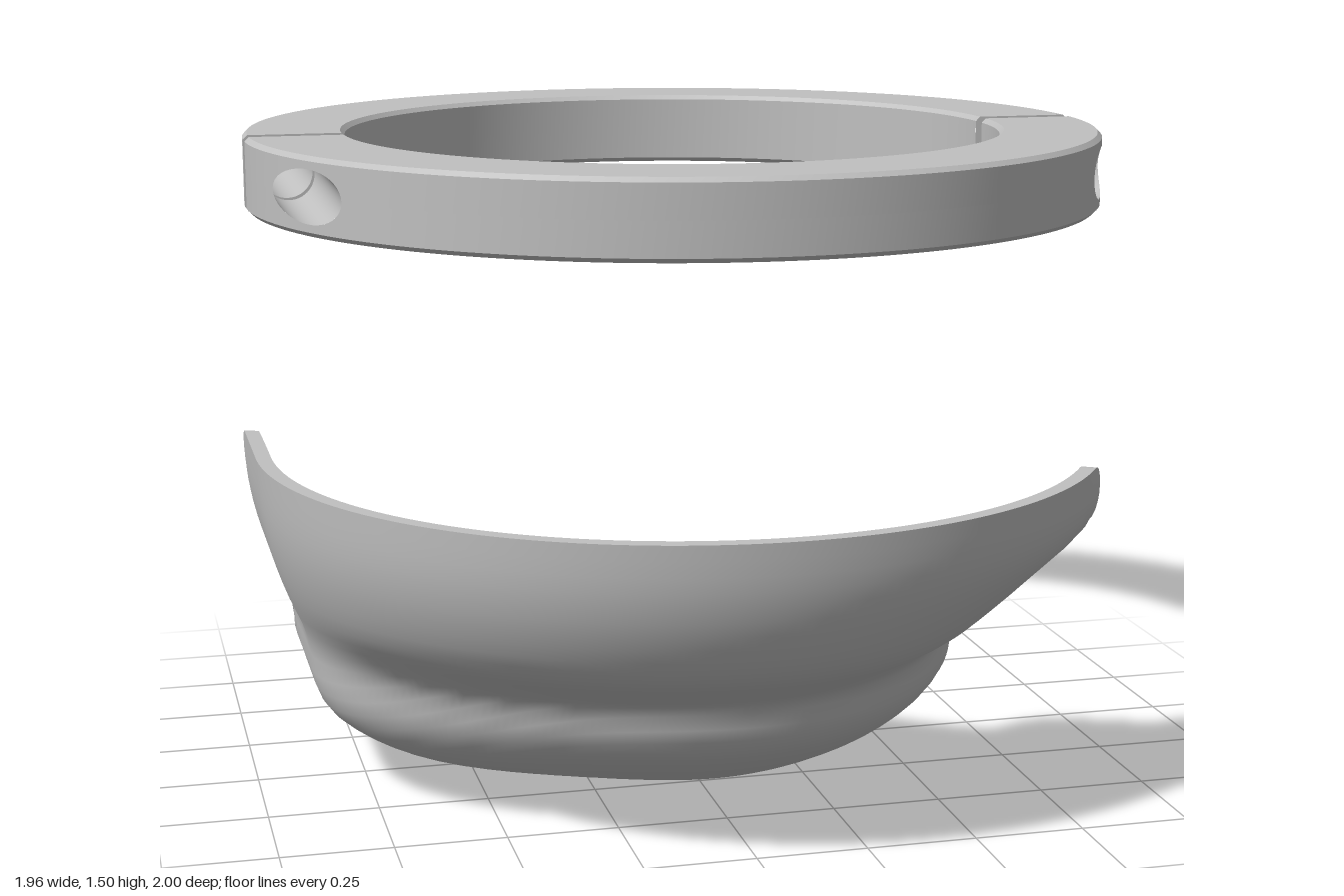
import * as THREE from 'three';
import { mergeGeometries } from 'three/addons/utils/BufferGeometryUtils.js';

const grey = new THREE.MeshStandardMaterial({ color: 0xc0c0c0 });
grey.name = 'plain grey';

// Smooth sheet through rows of points; faces along (row direction) x (column direction)
function sheet(rows, closed = false) {
  const n = rows[0].length, index = [];
  const cols = closed ? n : n - 1;
  for (let i = 0; i < rows.length - 1; i++) {
    for (let j = 0; j < cols; j++) {
      const a = i * n + j, c = i * n + (j + 1) % n;
      index.push(a, a + n, c, c, a + n, c + n);
    }
  }
  const g = new THREE.BufferGeometry();
  g.setAttribute('position', new THREE.Float32BufferAttribute(rows.flat(2), 3));
  g.setIndex(index);
  g.computeVertexNormals();
  return g;
}

// ---- Split ring: one half, with a screw hole through each end ----
function ringHalfGeometry() {
  const Ri = 0.75, Ro = 0.98, y0 = 1.33, y1 = 1.5, c = 0.01;
  const yc = 1.415, xh = 0.885, rh = 0.058, gap = 0.02;
  const parts = [];

  // Angles: regular steps plus extra ones across the holes
  const angles = [];
  const start = Math.asin(gap / Ro);
  for (let i = 0; i <= 96; i++) angles.push(start + (Math.PI - 2 * start) * i / 96);
  for (let i = 0; i <= 24; i++) {
    const t = Math.acos((xh + rh * Math.cos(Math.PI * i / 24)) / Ro);
    angles.push(t, Math.PI - t);
  }
  angles.sort((a, b) => a - b);

  const row = (r, y) => angles.map((t) => {
    const lim = Math.asin(gap / r);
    const a = Math.min(Math.max(t, lim), Math.PI - lim);
    return [r * Math.cos(a), typeof y === 'function' ? y(a) : y, r * Math.sin(a)];
  });
  const holeHalf = (a) => {
    const d = Math.abs(Ro * Math.cos(a)) - xh;
    return Math.sqrt(Math.max(0, rh * rh - d * d));
  };

  // Bevelled section swept round; the outer wall leaves the holes open
  const section = [[Ro, y1 - c], [Ro - c, y1], [Ri + c, y1], [Ri, y1 - c],
    [Ri, y0 + c], [Ri + c, y0], [Ro - c, y0], [Ro, y0 + c]];
  for (let i = 0; i < section.length - 1; i++) {
    parts.push(sheet([row(...section[i]), row(...section[i + 1])]));
  }
  parts.push(sheet([row(Ro, y0 + c), row(Ro, (a) => yc - holeHalf(a))]));
  parts.push(sheet([row(Ro, (a) => yc + holeHalf(a)), row(Ro, y1 - c)]));

  for (const s of [1, -1]) {
    // Screw tunnel
    const near = [], far = [];
    for (let i = 0; i < 48; i++) {
      const a = i / 48 * Math.PI * 2;
      const x = s * xh + rh * Math.cos(a), y = yc + rh * Math.sin(a);
      near.push([x, y, gap]);
      far.push([x, y, Math.sqrt(Ro * Ro - x * x)]);
    }
    parts.push(sheet([near, far], true));

    // Flat end face
    const face = new THREE.Shape(section.map(([r, y]) => new THREE.Vector2(s * r, y)));
    face.holes.push(new THREE.Path().absarc(s * xh, yc, rh, 0, Math.PI * 2, true));
    const end = new THREE.ShapeGeometry(face, 24);
    end.deleteAttribute('uv');
    end.rotateY(Math.PI);
    end.translate(0, 0, gap);
    parts.push(end);
  }
  return mergeGeometries(parts);
}

// ---- Curved shell: radial profiles [radius, height] towards three sides ----
const FRONT = [[0, .01], [.2, .018], [.35, .05], [.5, .12], [.61, .2], [.65, .27], [.66, .32],
  [.75, .375], [.88, .45], [.95, .55], [.988, .66], [1, .78], [1, .84]];
const LEFT = [[0, .01], [.25, .018], [.45, .04], [.68, .09], [.82, .17], [.865, .25], [.87, .32],
  [.885, .38], [.92, .46], [.95, .55], [.97, .65], [.98, .78], [.98, .84]];
const RIGHT = [[0, .01], [.2, .018], [.35, .05], [.5, .12], [.6, .2], [.65, .27], [.66, .34],
  [.67, .41], [.73, .48], [.88, .575], [.985, .65], [1, .78], [1, .84]];
const RIM = 0.78, WALL = 0.035, STEPS = 40;
const rad = THREE.MathUtils.degToRad;

function profileAt(deg) {
  const cos = Math.cos(rad(deg));
  const stretch = 1 / Math.max(Math.abs(cos), 0.05);
  let side, w, k = 1;
  if (deg >= 90 && deg <= 180) { side = LEFT; w = cos ** 4; }
  else if (deg > 180 && deg <= 270) { side = LEFT; w = 1; k = stretch; }
  else if (deg > 270 && deg < 360) { side = RIGHT; w = 1; k = stretch; }
  else { side = RIGHT; w = Math.min(1, (90 - deg % 360) / 62) ** 2; }
  const pts = FRONT.map(([r, y], i) => new THREE.Vector2(
    k * (r + (side[i][0] - r) * w), y + (side[i][1] - y) * w));
  return new THREE.SplineCurve(pts).getPoints(96);
}

// Profile moved inwards by the wall thickness
function inset(pts) {
  return pts.map((p, i) => {
    if (i === 0) return new THREE.Vector2(0, p.y + WALL);
    const d = pts[Math.min(i + 1, pts.length - 1)].clone().sub(pts[i - 1]).normalize();
    return new THREE.Vector2(Math.max(0, p.x - d.y * WALL), p.y + d.x * WALL);
  });
}

// Trim a profile at a radius and a height, then space its points evenly
function trim(pts, rMax, yMax) {
  const out = [pts[0]];
  for (let i = 1; i < pts.length; i++) {
    const a = pts[i - 1], b = pts[i];
    let t = 1;
    if (b.x > rMax) t = Math.min(t, (rMax - a.x) / (b.x - a.x));
    if (b.y > yMax) t = Math.min(t, (yMax - a.y) / (b.y - a.y));
    out.push(a.clone().lerp(b, Math.max(0, t)));
    if (t < 1) break;
  }
  const len = [0];
  for (let i = 1; i < out.length; i++) len.push(len[i - 1] + out[i].distanceTo(out[i - 1]));
  const total = len[len.length - 1], res = [];
  for (let s = 0, i = 1; s <= STEPS; s++) {
    const d = total * s / STEPS;
    while (i < out.length - 1 && len[i] < d) i++;
    const f = (d - len[i - 1]) / Math.max(1e-9, len[i] - len[i - 1]);
    res.push(out[i - 1].clone().lerp(out[i], Math.min(1, f)));
  }
  return res;
}

// Plan outline: straight back edge and diagonal edge with a rounded corner between
function cutRadius(deg) {
  const c = Math.cos(rad(deg)), s = Math.sin(rad(deg));
  const k = (Math.max(0, -s / 0.38) ** 20 + Math.max(0, (c - s) / 0.42) ** 20) ** (1 / 20);
  return k > 0.01 ? 1 / k : 100;
}

// Rim height, rounded off at both upper corners
function rimHeight(deg) {
  const drop = (dist, size) => {
    const u = Math.min(1, Math.max(0, 1 - rad(dist) / size));
    return 0.08 * (1 - Math.sqrt(1 - u * u));
  };
  if (deg < 14 || deg > 215) return RIM;
  return RIM - (deg < 100 ? drop(deg - 27.7, 0.1) : drop(201.2 - deg, 0.08));
}

function shellGeometry() {
  // Denser angles where the cut edges climb the wall
  const degs = [];
  for (const [from, to, n] of [[14, 36, 90], [36, 194, 90], [194, 208, 70], [208, 374, 90]]) {
    for (let i = 0; i < n; i++) degs.push(from + (to - from) * i / n);
  }
  const outer = [], inner = [];
  for (let k = 0; k <= STEPS; k++) { outer.push([]); inner.push([]); }
  for (const deg of degs) {
    const c = Math.cos(rad(deg)), s = Math.sin(rad(deg));
    const base = profileAt(deg), r = cutRadius(deg), y = rimHeight(deg);
    trim(base, r, y).forEach((p, k) => outer[k].push([p.x * c, p.y, p.x * s]));
    trim(inset(base), r, y).forEach((p, k) => inner[k].push([p.x * c, p.y, p.x * s]));
  }
  return mergeGeometries([
    sheet(outer, true),
    sheet([...inner].reverse(), true),
    sheet([outer[STEPS], inner[STEPS]], true),
  ]);
}

export function createModel() {
  const model = new THREE.Group();
  model.name = 'splitRingAndShell';
  const half = ringHalfGeometry();
  for (const [name, turn] of [['frontRingHalf', 0], ['backRingHalf', Math.PI]]) {
    const mesh = new THREE.Mesh(half, grey);
    mesh.name = name;
    mesh.position.z = -0.02;
    mesh.rotation.y = turn;
    model.add(mesh);
  }
  const shell = new THREE.Mesh(shellGeometry(), grey);
  shell.name = 'curvedShell';
  shell.position.y = -0.01;
  model.add(shell);
  return model;
}
